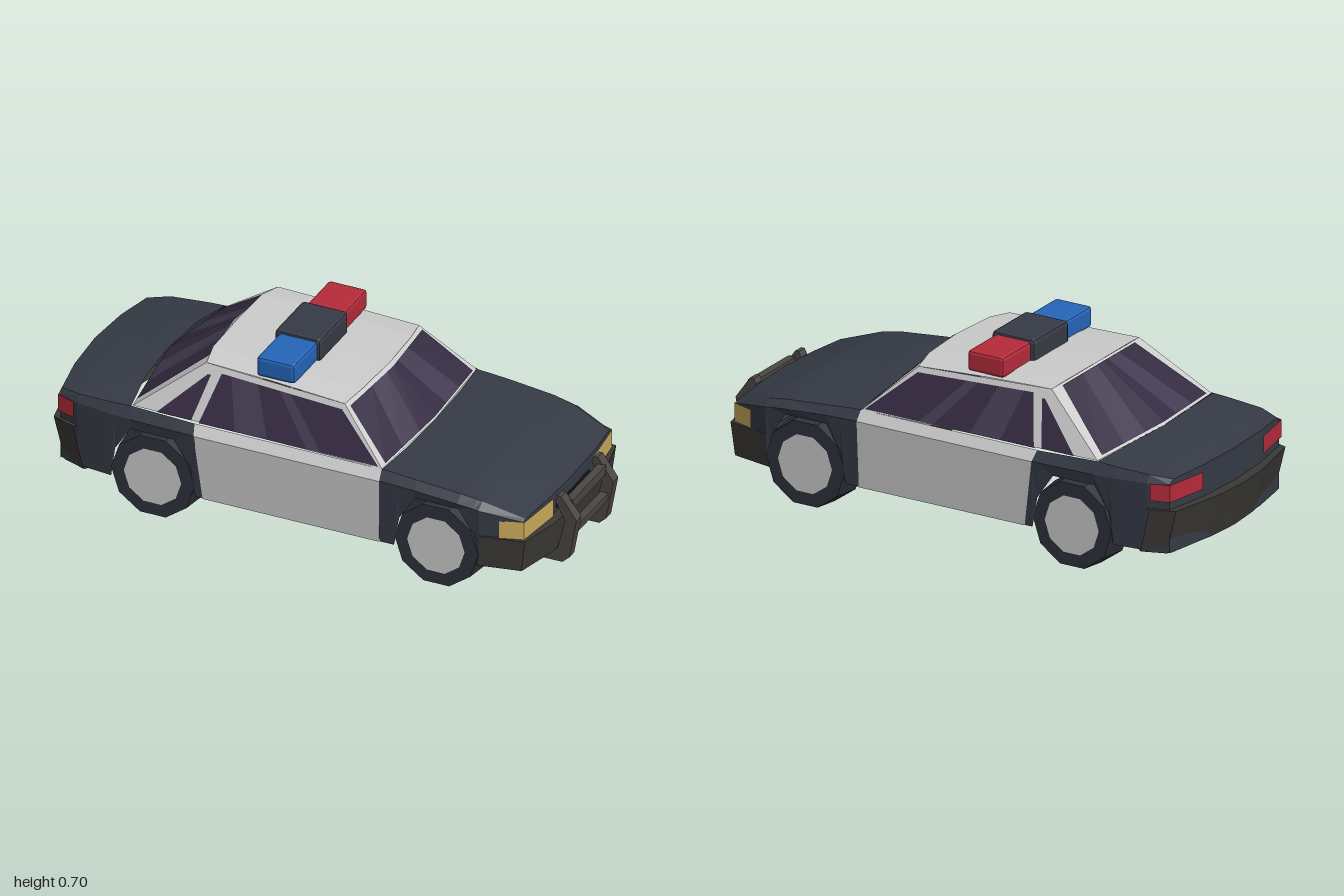
import * as THREE from 'three';
import { RoundedBoxGeometry } from 'three/addons/geometries/RoundedBoxGeometry.js';

const mat = (color) => new THREE.MeshStandardMaterial({ color, flatShading: true, side: THREE.DoubleSide });
const dark = mat(0x353a45), white = mat(0xcccccc), glass = mat(0x352c42), streak = mat(0x443c52);
const bumperMat = mat(0x3b3936), barMat = mat(0x4a4744), yellow = mat(0xc9a95c), red = mat(0xb52b3a);
const blue = mat(0x2565b8), tyreMat = mat(0x2e323c), hubMat = mat(0xc4c4c4), black = mat(0x15161a);

export function createModel() {
  const car = new THREE.Group();
  car.name = 'patrolCar';

  const add = (name, geo, material, x = 0, y = 0, z = 0) => {
    const m = new THREE.Mesh(geo, material);
    m.name = name;
    m.position.set(x, y, z);
    car.add(m);
    return m;
  };

  // Sheet through rows of points
  const sheet = (name, rows, material) => {
    const n = rows[0].length, index = [];
    for (let i = 0; i < rows.length - 1; i++)
      for (let j = 0; j < n - 1; j++) {
        const a = i * n + j;
        index.push(a, a + 1, a + n, a + 1, a + n + 1, a + n);
      }
    const geo = new THREE.BufferGeometry();
    geo.setAttribute('position', new THREE.Float32BufferAttribute(rows.flat(2), 3));
    geo.setIndex(index);
    geo.computeVertexNormals();
    return add(name, geo, material);
  };
  const flip = (rows) => rows.map((r) => r.map(([x, y, z]) => [x, y, -z]));
  const pair = (name, rows, material) => {
    sheet(name + 'Left', rows, material);
    sheet(name + 'Right', flip(rows), material);
  };

  // Body stations: x, centre y, shoulder z, shoulder y, belt z, belt y, bottom y, bow of x towards the sides
  const section = ([x, yc, ws, ys, w, yw, yb, bow]) =>
    [[0, yc], [ws * 0.55, yc - 0.003], [ws, ys], [w, yw], [w - 0.007, yb]]
      .map(([z, y]) => [x + bow * (z / 0.4) ** 2, y, z]);
  const front = [
    [0.368, 0.416, 0.385, 0.41, 0.41, 0.375, 0.125, -0.025],
    [0.40, 0.414, 0.385, 0.407, 0.41, 0.373, 0.125, 0],
    [0.42, 0.413, 0.385, 0.405, 0.41, 0.372, 0.24, 0],
    [0.48, 0.409, 0.385, 0.40, 0.41, 0.37, 0.335, 0],
    [0.65, 0.393, 0.38, 0.384, 0.41, 0.358, 0.335, 0],
    [0.71, 0.384, 0.375, 0.374, 0.405, 0.35, 0.24, 0],
    [0.73, 0.38, 0.373, 0.37, 0.405, 0.347, 0.125, 0],
    [0.905, 0.327, 0.34, 0.32, 0.355, 0.313, 0.125, -0.03],
  ].map(section);
  const rear = [
    [-0.96, 0.41, 0.345, 0.40, 0.365, 0.385, 0.125, 0.05],
    [-0.86, 0.424, 0.375, 0.41, 0.39, 0.382, 0.125, 0.02],
    [-0.735, 0.436, 0.385, 0.416, 0.405, 0.378, 0.125, 0.03],
    [-0.72, 0.437, 0.385, 0.417, 0.405, 0.378, 0.24, 0.03],
    [-0.675, 0.44, 0.385, 0.42, 0.408, 0.377, 0.335, 0.045],
    [-0.46, 0.44, 0.385, 0.413, 0.41, 0.375, 0.335, 0],
    [-0.395, 0.44, 0.385, 0.41, 0.41, 0.375, 0.24, 0],
    [-0.375, 0.44, 0.385, 0.41, 0.41, 0.375, 0.125, 0],
    [-0.345, 0.44, 0.385, 0.41, 0.41, 0.375, 0.125, 0],
  ].map(section);
  const cap = (s) => [s.slice(0, 4), s.slice(0, 4).map(([x, , z]) => [x, 0.125, z])];
  pair('hoodAndFender', front, dark);
  pair('nose', cap(front[front.length - 1]), dark);
  pair('rearFender', rear.map((s) => s.slice(2)), dark);
  pair('trunkLid', rear.slice(0, 5).map((s) => s.slice(0, 3)), dark);
  pair('tailPanel', cap(rear[0]), dark);

  // Doors
  pair('doors', [
    [[-0.385, 0.412, 0.388], [0.345, 0.412, 0.388]],
    [[-0.377, 0.375, 0.414], [0.347, 0.375, 0.414]],
    [[-0.345, 0.125, 0.407], [0.342, 0.125, 0.407]],
  ], white);

  // Cabin shell
  const sideZ = (y) => 0.385 - (y - 0.41) * 0.47;
  const side = (x, y) => [x, y, sideZ(y)];
  const roofRear = side(-0.385, 0.61), roofFront = side(0.16, 0.586);
  const rearBase = side(-0.63, 0.42), frontBase = side(0.345, 0.41);
  pair('roof', [
    [[-0.405, 0.626, 0], [-0.402, 0.624, 0.2], roofRear],
    [[-0.12, 0.618, 0], [-0.12, 0.615, 0.21], side(-0.12, 0.601)],
    [[0.19, 0.602, 0], [0.18, 0.599, 0.2], roofFront],
  ], white);
  pair('cabinSide', [[rearBase, frontBase], [roofRear, side(0.16, 0.586)]], white);
  const screens = {
    windshield: [[0.368, 0.416, 0], frontBase, roofFront, [0.19, 0.602, 0]],
    rearWindow: [[-0.675, 0.44, 0], rearBase, roofRear, [-0.405, 0.626, 0]],
  };

  // Glass pane with slanted lighter streaks, laid on both faces of the shell
  const lerp = (a, b, t) => a.map((v, i) => v + (b[i] - v) * t);
  const pane = (name, [a, b, c, d], streaks, normal) => {
    const at = (u, v) => lerp(lerp(a, b, u), lerp(d, c, u), v);
    const cuts = [[0, 0], ...streaks.flat(), [1, 1]];
    for (const off of [0.004, -0.004])
      for (let i = 0; i < cuts.length - 1; i++) {
        const [[b0, t0], [b1, t1]] = [cuts[i], cuts[i + 1]];
        const rows = [[at(b0, 0), at(b1, 0)], [at(t0, 1), at(t1, 1)]]
          .map((r) => r.map((p) => p.map((v, k) => v + normal[k] * off)));
        pair(name, rows, i % 2 ? streak : glass);
      }
  };
  const bands = [[[0.2, 0.08], [0.38, 0.3]], [[0.6, 0.48], [0.68, 0.57]]];
  pane('sideWindow', [side(-0.37, 0.415), side(0.33, 0.415), side(0.155, 0.567), side(-0.318, 0.587)],
    bands, [0, 0.43, 0.9]);
  pane('quarterWindow', [side(-0.535, 0.418), side(-0.4, 0.418), side(-0.358, 0.575), side(-0.37, 0.575)],
    [], [0, 0.43, 0.9]);
  for (const [name, [a, b, c, d]] of Object.entries(screens)) {
    const at = (u, v) => lerp(lerp(a, b, u), lerp(d, c, u), v);
    pair(name + 'Frame', [[a, b], [d, c]], white);
    const isFront = name === 'windshield';
    pane(name, [at(0, 0.03), at(isFront ? 0.93 : 0.92, 0.03), at(isFront ? 0.95 : 0.82, isFront ? 0.93 : 0.97), at(0, isFront ? 0.93 : 0.97)],
      [[[0.3, 0.15], [0.65, 0.5]]], [isFront ? 0.7 : -0.6, 0.75, 0]);
  }

  // Lights wrapped round the corners
  const wrap = (name, path, y0, y1, material) =>
    pair(name, [path.map(([x, z]) => [x, y0, z]), path.map(([x, z]) => [x, y1, z])], material);
  wrap('headlight', [[0.80, 0.387], [0.886, 0.359], [0.908, 0.165]], 0.243, 0.315, yellow);
  wrap('tailLight', [[-0.855, 0.393], [-0.925, 0.371], [-0.956, 0.2]], 0.32, 0.385, red);
  add('grilleSlot', new THREE.BoxGeometry(0.01, 0.014, 0.26), black, 0.906, 0.268, 0);

  // Bumpers: outer face leaning in at the bottom, with top and bottom lips
  const bumper = (name, path, yTop, lean) => {
    const ring = (y, shift, inset) => path.map(([x, z]) => [x - Math.sign(x) * shift, y, z * inset]);
    pair(name, [ring(yTop, 0.08, 0.88), ring(yTop, 0, 1), ring(0.12, lean, 0.985), ring(0.12, 0.08, 0.88)], bumperMat);
  };
  bumper('frontBumper', [[0.735, 0.404], [0.895, 0.372], [0.935, 0.2], [0.942, 0]], 0.245, 0.015);
  bumper('rearBumper', [[-0.855, 0.398], [-0.945, 0.365], [-0.99, 0.14], [-1.0, 0]], 0.288, 0.04);

  // Push bar
  const upright = new THREE.Shape([
    [0.925, 0.335], [0.94, 0.335], [1.0, 0.25], [0.972, 0.095], [0.945, 0.07], [0.82, 0.07],
    [0.82, 0.115], [0.925, 0.12], [0.955, 0.24], [0.915, 0.315],
  ].map(([x, y]) => new THREE.Vector2(x, y)));
  for (const s of [1, -1])
    add('pushBarUpright', new THREE.ExtrudeGeometry(upright, { depth: 0.04, bevelEnabled: false }), barMat, 0, 0, s * 0.15 - 0.02);
  add('pushBarUpperRail', new THREE.BoxGeometry(0.03, 0.036, 0.27), barMat, 0.955, 0.292, 0);
  add('pushBarLowerRail', new THREE.BoxGeometry(0.03, 0.026, 0.27), barMat, 0.965, 0.187, 0);

  // Wheels: ten-sided tyres tapering outward, with pale hubs
  for (const x of [-0.54, 0.565])
    for (const s of [1, -1]) {
      const wheel = new THREE.Group();
      wheel.name = 'wheel';
      const tyre = new THREE.Mesh(new THREE.CylinderGeometry(0.163, 0.174, 0.108, 10).rotateY(Math.PI / 2), tyreMat);
      tyre.name = 'tyre';
      wheel.add(tyre);
      for (const e of [1, -1]) {
        const hub = new THREE.Mesh(new THREE.CircleGeometry(0.112, 10).rotateX(-Math.PI / 2), hubMat);
        hub.name = 'hub';
        hub.position.y = e * 0.057;
        wheel.add(hub);
      }
      wheel.rotation.x = s * Math.PI / 2;
      wheel.position.set(x, 0.1655, s * 0.35);
      car.add(wheel);
    }

  // Roof light bar
  add('lightBarCentre', new RoundedBoxGeometry(0.18, 0.09, 0.232, 1, 0.014), dark, -0.115, 0.651, 0);
  add('blueLamp', new RoundedBoxGeometry(0.15, 0.078, 0.2, 1, 0.012), blue, -0.113, 0.647, 0.197);
  add('redLamp', new RoundedBoxGeometry(0.15, 0.078, 0.2, 1, 0.012), red, -0.113, 0.647, -0.197);

  return car;
}
